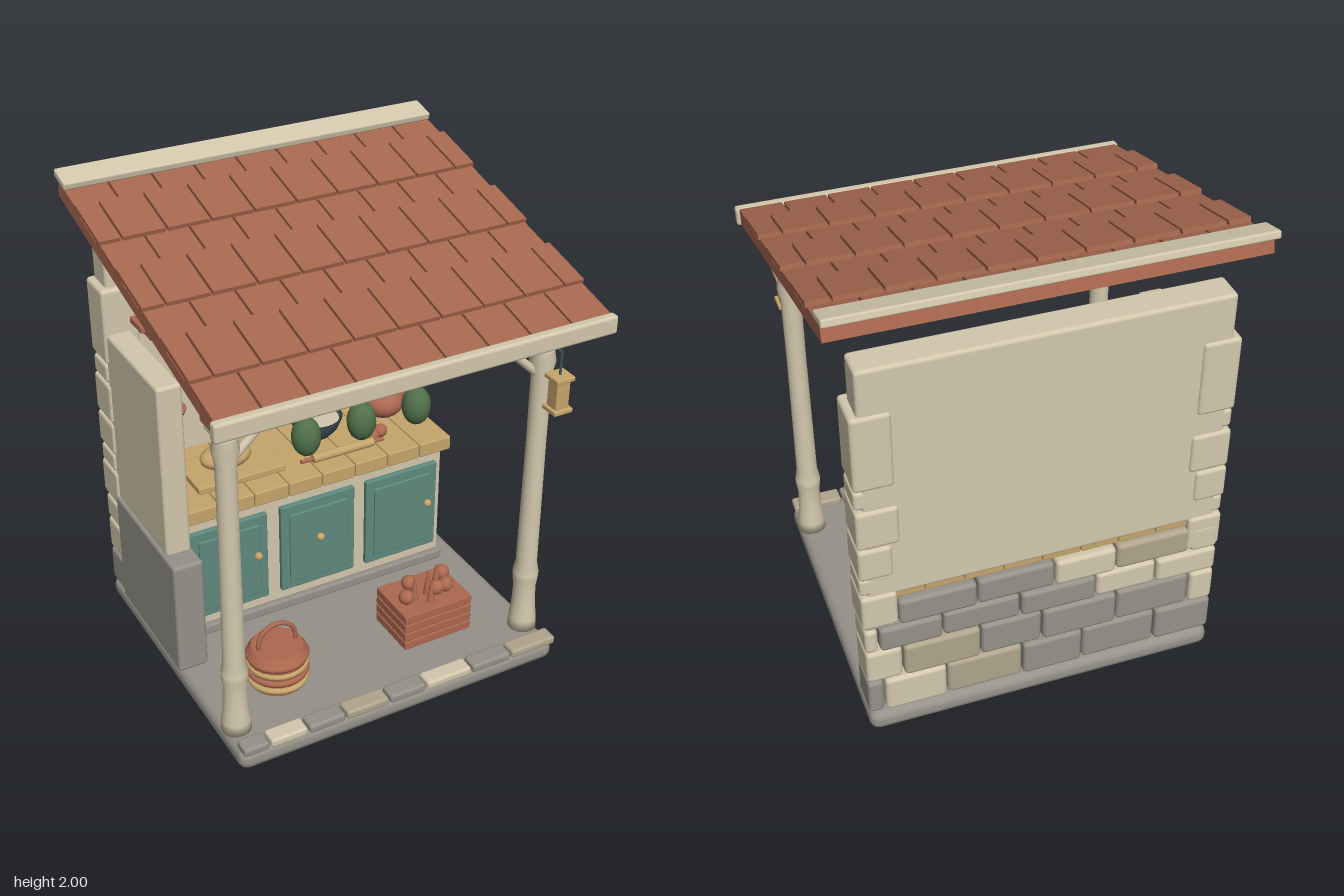
import * as THREE from 'three';
import { RoundedBoxGeometry } from 'three/addons/geometries/RoundedBoxGeometry.js';

const mat = (name, color) => Object.assign(new THREE.MeshStandardMaterial({ color }), { name });

export function createModel() {
  const model = new THREE.Group();
  model.name = 'outdoorKitchen';

  const cream = mat('cream plaster', 0xd3c8ad);
  const stoneMid = mat('warm stone', 0xb0a58c);
  const stoneGrey = mat('grey stone', 0x96928a);
  const tile = mat('roof tile', 0xa5674e);
  const clay = mat('terracotta', 0xad6850);
  const teal = mat('teal paint', 0x5f8a7d);
  const wood = mat('light wood', 0xc6a56c);
  const leaf = mat('leaf green', 0x51704a);
  const slate = mat('dark slate', 0x41565a);

  const group = (name, parent = model) => {
    const g = new THREE.Group();
    g.name = name;
    parent.add(g);
    return g;
  };
  const add = (name, geo, m, x, y, z, parent = model) => {
    const mesh = new THREE.Mesh(geo, m);
    mesh.name = name;
    mesh.position.set(x, y, z);
    parent.add(mesh);
    return mesh;
  };
  // Box given by its limits on each axis; r rounds the edges
  const box = (name, m, [x0, x1], [y0, y1], [z0, z1], r = 0, parent = model) => {
    const w = x1 - x0, h = y1 - y0, d = z1 - z0;
    const geo = r ? new RoundedBoxGeometry(w, h, d, 2, r) : new THREE.BoxGeometry(w, h, d);
    return add(name, geo, m, (x0 + x1) / 2, (y0 + y1) / 2, (z0 + z1) / 2, parent);
  };
  const ball = (name, m, x, y, z, rx, ry = rx, rz = rx, parent = model) => {
    const s = add(name, new THREE.SphereGeometry(1, 20, 14), m, x, y, z, parent);
    s.scale.set(rx, ry, rz);
    return s;
  };
  const cyl = (name, m, x, y0, y1, z, r0, r1 = r0, parent = model) =>
    add(name, new THREE.CylinderGeometry(r1, r0, y1 - y0, 20), m, x, (y0 + y1) / 2, z, parent);
  const rod = (name, m, a, b, r, parent = model) => {
    const p = new THREE.Vector3(...a), q = new THREE.Vector3(...b);
    const mesh = add(name, new THREE.CylinderGeometry(r, r, p.distanceTo(q), 10), m, 0, 0, 0, parent);
    mesh.position.copy(p).lerp(q, 0.5);
    mesh.quaternion.setFromUnitVectors(new THREE.Vector3(0, 1, 0), q.sub(p).normalize());
    return mesh;
  };
  const lathe = (name, m, pts, x, y, z, parent = model) =>
    add(name, new THREE.LatheGeometry(pts.map(p => new THREE.Vector2(...p)), 24), m, x, y, z, parent);

  // Base slab and kerb stones along the front
  box('base', stoneGrey, [-0.72, 0.72], [0, 0.092], [-0.68, 0.63], 0.04);
  const kerb = [-0.715, -0.6, -0.435, -0.27, -0.075, 0.095, 0.31, 0.5, 0.72];
  for (let i = 0; i < 8; i++)
    box('kerbStone', [stoneGrey, cream, stoneGrey, stoneMid][i % 4], [kerb[i] + 0.004, kerb[i + 1] - 0.004],
      [0.085, 0.123], [0.565, 0.64], 0.012);

  // Back wall: stone courses below, plaster above, corner stones at the ends
  const courses = [0.092, 0.26, 0.42, 0.54, 0.665];
  const stones = group('stoneCourses');
  for (let r = 0; r < 4; r++) {
    const edges = [-0.722];
    for (let k = 1; k <= 5; k++) edges.push(-0.72 + (k - (r % 2 ? 0.55 : 0.15)) * 0.288 + ((k * 7 + r * 3) % 5 - 2) * 0.012);
    edges.push(0.722);
    for (let i = 0; i < 6; i++) {
      const end = i === 0 || i === 5;
      const m = end ? (r ? cream : stoneGrey) : [stoneGrey, stoneMid, stoneGrey, cream, stoneGrey][(i * 2 + r * 3) % 5];
      box('stone', m, [edges[i] + 0.003, edges[i + 1] - 0.003], [courses[r] + 0.003, courses[r + 1] - 0.003],
        [-0.667 + (i % 2) * 0.006, -0.505], 0.018, stones);
    }
  }
  box('backWall', cream, [-0.695, 0.695], [0.7, 1.735], [-0.653, -0.525], 0.015);
  const quoins = [[0.555, 0.715, 0.14], [0.72, 0.8, 0.09], [0.805, 0.95, 0.13], [0.957, 1.13, 0.16], [1.137, 1.22, 0.09], [1.228, 1.55, 0.15]];
  for (const s of [-1, 1])
    for (const [y0, y1, w] of quoins) {
      const x = [s * 0.725, s * (0.725 - w)].sort((a, b) => a - b);
      const d = w > 0.1 ? 0 : 0.012;
      box('cornerStone', cream, x, [y0, y1], [-0.665 + d, -0.5 - d], 0.016);
    }

  // Side wall
  box('sideWallLower', stoneGrey, [-0.728, -0.6], [0.092, 0.607], [-0.52, 0.075], 0.015);
  box('sideWallUpper', cream, [-0.715, -0.61], [0.6, 1.36], [-0.53, -0.015], 0.015);

  // Posts with braces, and the front beam
  const profile = [[0, 0.09], [0.06, 0.09], [0.058, 0.14], [0.05, 0.2], [0.046, 0.3], [0.053, 0.35], [0.053, 0.37],
    [0.044, 0.42], [0.04, 1.0], [0.041, 1.3], [0.052, 1.36], [0.045, 1.4], [0.05, 1.435], [0, 1.435]];
  for (const s of [-1, 1]) {
    lathe('post', cream, profile, s * 0.665, 0, 0.47);
    box('postCapital', cream, [s * 0.665 - 0.055, s * 0.665 + 0.055], [1.425, 1.48], [0.412, 0.528], 0.012);
    rod('brace', cream, [s * 0.64, 1.31, 0.47], [s * 0.465, 1.475, 0.47], 0.017);
  }
  box('frontBeam', clay, [-0.74, 0.735], [1.475, 1.547], [0.433, 0.503], 0.006);

  // Sloping roof, tiles in alternating low and raised rows
  const roof = group('roof');
  roof.position.y = 1.725;
  roof.rotation.x = Math.atan(0.2537);
  box('roofDeck', clay, [-0.795, 0.795], [0, 0.046], [-0.7, 0.7], 0, roof);
  for (let r = 0; r < 7; r++) {
    const raised = r % 2 === 1, zc = -0.6 + r * 0.1965;
    const y = raised ? [0.06, 0.08] : [0.045, 0.063];
    const z = [Math.max(zc - 0.117, -0.7), Math.min(zc + 0.117, 0.7)];
    for (let k = 0; k < (raised ? 10 : 9); k++) {
      const x0 = -0.8 + (k - (raised ? 0.5 : 0)) * 0.1778;
      box('roofTile', tile, [Math.max(x0 + 0.005, -0.8), Math.min(x0 + 0.173, 0.8)], y, z, 0, roof);
    }
  }
  box('ridgeCap', cream, [-0.8, 0.8], [0.063, 0.095], [-0.745, -0.635], 0.008, roof);
  box('eaveBoard', cream, [-0.81, 0.81], [1.545, 1.62], [0.672, 0.714], 0.012);

  // Counter with doors and a plank top
  box('counterPlinth', stoneGrey, [-0.61, 0.62], [0.09, 0.135], [-0.53, -0.095], 0.008);
  box('counterBody', cream, [-0.605, 0.61], [0.132, 0.672], [-0.53, -0.115], 0.01);
  [[-0.585, -0.29], [-0.175, 0], [0.23, 0.525]].forEach(([x, knob]) => {
    box('door', teal, [x, x + 0.348], [0.19, 0.61], [-0.12, -0.094], 0.006);
    box('doorPanel', teal, [x + 0.038, x + 0.31], [0.228, 0.568], [-0.1, -0.085], 0.005);
    ball('doorKnob', wood, knob, 0.425, -0.075, 0.017);
  });
  for (let i = 0; i < 8; i++) {
    const w = 1.24 / 8, x = -0.61 + i * w;
    box('counterPlank', wood, [x + 0.0015, x + w - 0.0015], [0.672, 0.736], [-0.645, -0.073], 0.006);
  }

  // Window with cross bars, shutters and flower box
  box('windowPane', cream, [0.1, 0.54], [0.99, 1.46], [-0.53, -0.515]);
  for (const [x, y] of [[[0.08, 0.108], [0.975, 1.475]], [[0.522, 0.55], [0.975, 1.475]], [[0.08, 0.55], [1.447, 1.475]], [[0.08, 0.55], [0.975, 1.0]]])
    box('windowFrame', clay, x, y, [-0.53, -0.488], 0.004);
  box('windowBar', cream, [0.14, 0.487], [1.21, 1.235], [-0.52, -0.5], 0.006);
  box('windowBar', cream, [0.302, 0.327], [1.035, 1.41], [-0.52, -0.5], 0.006);
  for (const x of [0, 0.63]) {
    const sh = group('shutter');
    box('shutterPanel', teal, [x - 0.072, x + 0.072], [0.99, 1.465], [-0.53, -0.503], 0.005, sh);
    for (let i = 0; i < 8; i++)
      box('shutterSlat', teal, [x - 0.055, x + 0.055], [1.02 + i * 0.053, 1.062 + i * 0.053], [-0.506, -0.494], 0, sh).rotation.x = -0.25;
  }
  box('windowSill', cream, [0.065, 0.56], [0.927, 0.965], [-0.53, -0.45], 0.01);
  box('flowerBox', wood, [0.095, 0.53], [0.81, 0.925], [-0.51, -0.38], 0.008);
  for (let i = 0; i < 6; i++) {
    const x = 0.148 + i * 0.066;
    ball('flowerLeaves', leaf, x, 0.943, -0.42, 0.029, 0.024);
    ball('flower', i % 2 ? clay : cream, x - 0.004, 0.985, -0.42, 0.02);
  }

  // Jar shelf
  box('shelf', clay, [-0.615, -0.02], [1.392, 1.42], [-0.53, -0.39], 0.005);
  for (const x of [-0.545, -0.12]) box('shelfBracket', clay, [x - 0.014, x + 0.014], [1.325, 1.395], [-0.53, -0.435], 0.004);
  [-0.53, -0.39, -0.245, -0.11].forEach((x, i) => {
    cyl('jar', i % 2 ? stoneMid : cream, x, 1.42, 1.545, -0.46, 0.042);
    cyl('jarLid', clay, x, 1.545, 1.565, -0.46, 0.045);
  });

  // Utensil rail with pans and a ladle
  rod('utensilRail', wood, [-0.605, 1.135, -0.47], [-0.03, 1.135, -0.47], 0.011);
  for (const x of [-0.595, -0.04]) rod('railBracket', wood, [x, 1.135, -0.47], [x, 1.135, -0.53], 0.009);
  for (const x of [-0.5, -0.315, -0.14]) rod('railHook', slate, [x, 1.135, -0.46], [x, 1.06, -0.46], 0.005);
  for (const x of [-0.5, -0.14]) cyl('hangingPan', clay, x, 0.972, 0.995, -0.45, 0.065, 0.076);
  rod('ladleHandle', clay, [-0.315, 1.065, -0.46], [-0.315, 0.9, -0.46], 0.008);
  ball('ladleBowl', wood, -0.318, 0.893, -0.455, 0.038, 0.024, 0.03);

  // Food and cookware on the counter
  box('cuttingBoard', wood, [-0.5, -0.11], [0.734, 0.765], [-0.4, -0.17], 0.006);
  ball('bread', wood, -0.325, 0.808, -0.29, 0.112, 0.05, 0.075);
  for (const x of [-0.37, -0.325, -0.28]) box('breadScore', cream, [x - 0.006, x + 0.006], [0.849, 0.857], [-0.315, -0.265], 0.003);
  rod('rollingPin', wood, [0.015, 0.754, -0.17], [0.3, 0.754, -0.17], 0.02);
  rod('rollingPinHandle', clay, [-0.04, 0.754, -0.17], [0.35, 0.754, -0.17], 0.009);
  lathe('bowl', slate, [[0, 0.736], [0.06, 0.736], [0.095, 0.775], [0.115, 0.825], [0.108, 0.828], [0.085, 0.785], [0, 0.77]], 0.135, 0, -0.37);
  cyl('bowlContents', cream, 0.135, 0.8, 0.815, -0.37, 0.09, 0.1);
  const pot = group('teapot');
  ball('teapotBody', clay, 0.465, 0.806, -0.37, 0.092, 0.07, 0.092, pot);
  cyl('teapotLid', clay, 0.465, 0.865, 0.885, -0.37, 0.045, 0.03, pot);
  ball('teapotKnob', clay, 0.465, 0.892, -0.37, 0.014, 0.014, 0.014, pot);
  rod('teapotSpout', clay, [0.53, 0.8, -0.37], [0.6, 0.85, -0.37], 0.02, pot);
  const handle = add('teapotHandle', new THREE.TorusGeometry(0.042, 0.01, 8, 20), clay, 0.375, 0.81, -0.37, pot);
  handle.scale.set(0.8, 1, 1);
  for (const [x, z] of [[0.275, -0.26], [0.315, -0.2], [0.365, -0.22], [0.33, -0.27]]) ball('tomato', clay, x, 0.764, z, 0.031, 0.028);

  // Gourds hanging from the beam
  for (const x of [-0.35, -0.125, 0.105]) {
    ball('gourd', leaf, x, 1.317, 0.47, 0.054, 0.076, 0.054);
    rod('gourdString', slate, [x, 1.385, 0.47], [x, 1.48, 0.47], 0.005);
  }

  // Lantern on a hook
  const lantern = group('lantern');
  rod('lanternArm', slate, [0.66, 1.45, 0.42], [0.66, 1.45, 0.59], 0.006, lantern);
  rod('lanternWire', slate, [0.66, 1.45, 0.59], [0.66, 1.35, 0.59], 0.005, lantern);
  box('lanternBody', wood, [0.63, 0.69], [1.215, 1.335], [0.56, 0.62], 0.005, lantern);
  for (const y of [1.2, 1.335]) box('lanternPlate', wood, [0.618, 0.702], [y, y + 0.02], [0.548, 0.632], 0.005, lantern);

  // Basket with bands, lid and handle
  const basket = group('basket');
  cyl('basketBody', clay, -0.395, 0.092, 0.24, 0.29, 0.112, 0.122, basket);
  for (let i = 0; i < 4; i++) {
    const band = add('basketBand', new THREE.TorusGeometry(0.115, 0.014, 8, 28), i % 2 ? clay : wood, -0.395, 0.12 + i * 0.036, 0.29, basket);
    band.rotation.x = Math.PI / 2;
  }
  cyl('basketLid', clay, -0.395, 0.24, 0.268, 0.29, 0.124, 0.105, basket);
  add('basketHandle', new THREE.TorusGeometry(0.082, 0.01, 8, 28, Math.PI), clay, -0.395, 0.285, 0.29, basket);
  for (const s of [-1, 1]) rod('basketHandleEnd', clay, [-0.395 + s * 0.082, 0.25, 0.29], [-0.395 + s * 0.082, 0.285, 0.29], 0.01, basket);

  // Slatted vegetable crate
  const crate = group('crate');
  box('crateBody', clay, [0.147, 0.452], [0.092, 0.255], [0.162, 0.386], 0, crate);
  for (let i = 0; i < 4; i++)
    box('crateSlat', clay, [0.14, 0.458], [0.095 + i * 0.043, 0.133 + i * 0.043], [0.155, 0.393], 0.004, crate);
  for (const [x, z] of [[0.19, 0.31], [0.25, 0.23], [0.335, 0.31], [0.41, 0.23], [0.38, 0.31]]) ball('vegetable', clay, x, 0.297, z, 0.032, 0.032, 0.032, crate);
  for (const [x, z, h] of [[0.235, 0.3, 0.37], [0.305, 0.29, 0.38], [0.37, 0.25, 0.36], [0.29, 0.34, 0.35]])
    cyl('carrot', clay, x, 0.25, h, z, 0.02, 0.003, crate);

  return model;
}
